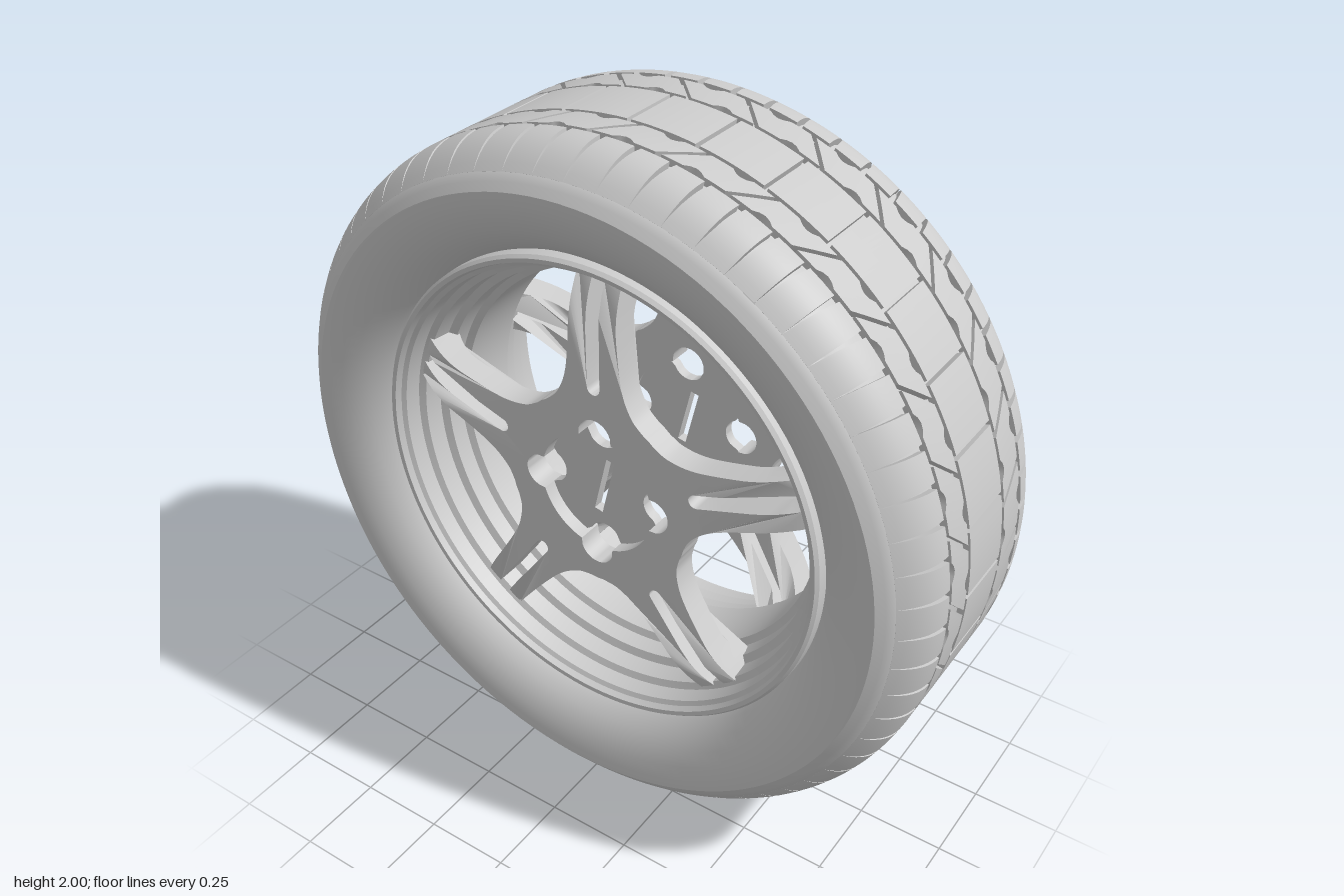
import * as THREE from 'three';
import { mergeGeometries, toCreasedNormals } from 'three/addons/utils/BufferGeometryUtils.js';

const GREY = new THREE.MeshStandardMaterial({ color: 0xcccccc });
const GREY_OPEN = new THREE.MeshStandardMaterial({ color: 0xcccccc, side: THREE.DoubleSide });
const PITCHES = 32; // tread blocks around the tyre
const PITCH = (Math.PI * 2) / PITCHES;
const GROOVE = 0.02;

const clamp01 = (t) => Math.min(1, Math.max(0, t));

// Outer tyre radius at a distance |z| from the middle
const treadRadius = (z) => 1 - 0.11 * Math.pow(clamp01((Math.abs(z) - 0.2) / 0.175), 2.4);

function mesh(name, geometry, material = GREY) {
  const m = new THREE.Mesh(geometry, material);
  m.name = name;
  return m;
}

// Revolve [radius, z] points around the z axis
function revolve(points, crease) {
  const g = new THREE.LatheGeometry(points.map(([r, z]) => new THREE.Vector2(r, z)), 128);
  return toCreasedNormals(g.rotateX(Math.PI / 2), crease);
}

// Tyre body: groove floor, shoulders, sidewalls and bead
function tyreBody() {
  const side = [[0.86, 0.374], [0.82, 0.364], [0.78, 0.347], [0.745, 0.322], [0.715, 0.288], [0.695, 0.25]];
  const outer = [];
  for (let i = -25; i <= 25; i++) {
    const z = i * 0.015;
    outer.push([treadRadius(z) - GROOVE * clamp01((0.345 - Math.abs(z)) / 0.03), z]);
  }
  const back = side.map(([r, z]) => [r, -z]).reverse();
  return mesh('tyreBody', revolve([...back, ...outer, ...side, back[0]], 0.6));
}

// One raised tread block bent onto the tyre, copied around it.
// gap(t): groove width, t = 0 inside to 1 outside; slope: slant; bite: notch size
function treadBand(name, z0, z1, count, { gap, slope = 0, bite = 0, nz = 2 }) {
  const step = (Math.PI * 2) / count;
  const g = new THREE.BoxGeometry(1, 1, 1, 12, 1, nz);
  const p = g.attributes.position;
  const near = Math.min(Math.abs(z0), Math.abs(z1));
  for (let i = 0; i < p.count; i++) {
    const u = p.getX(i), v = p.getZ(i);
    let z = z0 + (z1 - z0) * (v + 0.5);
    const t = z0 * z1 < 0 ? 0 : (Math.abs(z) - near) / (z1 - z0);
    const a = Math.PI / 2 + slope * (t - 0.5) * (z1 - z0) - u * (step - gap(t));
    const r = treadRadius(z) - (p.getY(i) > 0 ? 0 : GROOVE + 0.005);
    if (Math.abs(v) > 0.49) z -= Math.sign(v) * bite * Math.sqrt(Math.max(0, 1 - (u / 0.12) ** 2));
    p.setXYZ(i, r * Math.cos(a), r * Math.sin(a), z);
  }
  g.computeVertexNormals();
  const copies = [];
  for (let k = 0; k < count; k++) copies.push(g.clone().rotateZ((k + 0.5) * step));
  return mesh(name, mergeGeometries(copies));
}

function tread() {
  const group = new THREE.Group();
  group.name = 'tread';
  group.add(treadBand('centreBlocks', -0.092, 0.092, PITCHES, { gap: () => 0.012 }));
  for (const s of [-1, 1]) {
    const band = (name, a, b, count, options) =>
      group.add(treadBand(name, Math.min(s * a, s * b), Math.max(s * a, s * b), count, options));
    band('slantedBlocks', 0.104, 0.195, PITCHES, { gap: () => 0.016, slope: 0.9, bite: 0.015 });
    band('shoulderBlocks', 0.207, 0.345, PITCHES * 2, { gap: (t) => 0.018 * (1 - t), slope: 0.12, nz: 8 });
  }
  return group;
}

// Stepped rim barrel with a rolled lip at each end
function rim() {
  const half = [[0.7, 0.25], [0.698, 0.29], [0.69, 0.3], [0.678, 0.298], [0.672, 0.28], [0.66, 0.272],
    [0.655, 0.225], [0.637, 0.215], [0.632, 0.16], [0.61, 0.15], [0.605, 0.1], [0.585, 0.09]];
  const mirrored = half.map(([r, z]) => [r, -z]).reverse();
  return mesh('rim', revolve([...half, ...mirrored], 0.5), GREY_OPEN);
}

// Hub circle with four bolt holes on its edge; sign +1 bulges out, -1 bites in
function hubOutline(sign) {
  const R = 0.18, bolt = 0.052, points = [];
  const reach = 2 * Math.asin(bolt / (2 * R)); // where bolt hole and hub circle cross
  for (let q = 0; q < 4; q++) {
    for (let i = 0; i < 32; i++) {
      const inHole = i < 16;
      const phi = inHole ? -reach + (2 * reach * i) / 16
        : reach + ((Math.PI / 2 - 2 * reach) * (i - 16)) / 16;
      const root = Math.sqrt(Math.max(0, bolt ** 2 - (R * Math.sin(phi)) ** 2));
      const r = inHole ? R * Math.cos(phi) + sign * root : R;
      const a = phi + (q * Math.PI) / 2;
      points.push(new THREE.Vector2(r * Math.cos(a), r * Math.sin(a)));
    }
  }
  return points;
}

// Five split spokes joined in a star, tips hooked back into the rim
function spokes() {
  const outline = [];
  const V = (x, y) => new THREE.Vector2(x, y);
  const edge = [[0.655, 0.068], [0.5, 0.074], [0.36, 0.088], [0.285, 0.116], [0.25, 0.148]];
  const slot = [0.655, 0.63, 0.6, 0.57, 0.54, 0.5, 0.42];
  for (let k = 0; k < 5; k++) {
    const axis = Math.PI / 2 + (k * Math.PI * 2) / 5;
    const local = slot.map((r) => V(r, -0.02));
    for (let i = 0; i <= 8; i++) {
      const a = -Math.PI / 2 - (Math.PI * i) / 8;
      local.push(V(0.33 + 0.02 * Math.cos(a), 0.02 * Math.sin(a)));
    }
    local.push(...[...slot].reverse().map((r) => V(r, 0.02)));
    // concave edge to the next spoke
    const origin = V(0, 0);
    const near = edge.map(([r, w]) => V(r, w));
    const far = edge.map(([r, w]) => V(r, -w).rotateAround(origin, (Math.PI * 2) / 5)).reverse();
    const valley = V(0.29, 0).rotateAround(origin, Math.PI / 5);
    local.push(...new THREE.SplineCurve([...near, valley, ...far]).getPoints(60));
    outline.push(...local.map((p) => p.rotateAround(origin, axis)));
  }
  const shape = new THREE.Shape(outline);
  shape.holes.push(new THREE.Path(hubOutline(1)));
  const depth = 0.075;
  const g = new THREE.ExtrudeGeometry(shape, { depth, bevelEnabled: false });
  const p = g.attributes.position;
  for (let i = 0; i < p.count; i++) {
    const t = clamp01((Math.hypot(p.getX(i), p.getY(i)) - 0.5) / 0.155);
    const isBack = p.getZ(i) < depth / 2;
    p.setZ(i, p.getZ(i) + 0.185 - t * t * (isBack ? 0.09 : 0.045));
  }
  return mesh('spokes', toCreasedNormals(g, 0.6));
}

// Recessed hub cap with a slanted slot
function hubCap(lean) {
  const shape = new THREE.Shape(hubOutline(-1));
  const slot = [[-0.034, -0.085], [-0.008, -0.09], [0.034, 0.085], [0.008, 0.09]];
  shape.holes.push(new THREE.Path(slot.map(([x, y]) => new THREE.Vector2(x * lean, y))));
  const g = new THREE.ExtrudeGeometry(shape, { depth: 0.03, bevelEnabled: false });
  return mesh('hubCap', toCreasedNormals(g.translate(0, 0, 0.19), 0.6));
}

export function createModel() {
  const wheel = new THREE.Group();
  wheel.name = 'wheel';
  wheel.add(tyreBody(), tread(), rim());
  // The same spoked face on both sides
  for (const s of [1, -1]) {
    const face = new THREE.Group();
    face.name = s > 0 ? 'frontFace' : 'backFace';
    face.add(spokes(), hubCap(s));
    if (s < 0) face.rotation.y = Math.PI;
    wheel.add(face);
  }
  wheel.position.y = 1;
  const model = new THREE.Group();
  model.name = 'model';
  model.add(wheel);
  return model;
}
